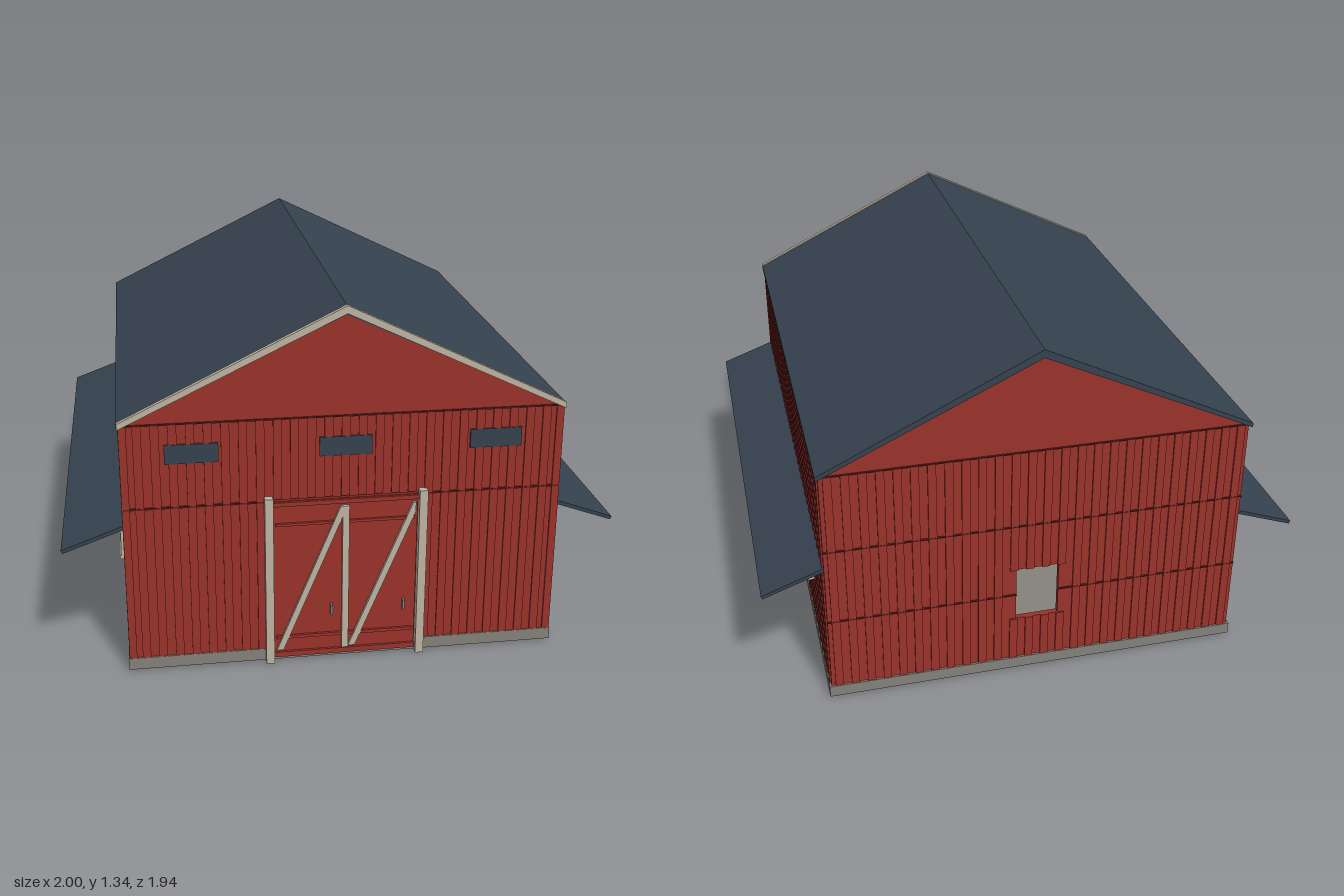
import * as THREE from 'three';
import { mergeGeometries } from 'three/addons/utils/BufferGeometryUtils.js';

const mat = (name, color) => {
  const m = new THREE.MeshStandardMaterial({ color });
  m.name = name;
  return m;
};

export function createModel() {
  const red = mat('barn red', 0x9a322b);
  const slate = mat('slate blue', 0x35424f);
  const cream = mat('cream trim', 0xbdb3a0);
  const stone = mat('foundation grey', 0x84817a);
  const seam = mat('seam red', 0x5e1d19);

  const barn = new THREE.Group();
  barn.name = 'barn';

  const add = (name, geometry, material, parent = barn) => {
    const m = new THREE.Mesh(geometry, material);
    m.name = name;
    parent.add(m);
    return m;
  };
  // box geometry from its minimum and maximum corners
  const span = (x0, x1, y0, y1, z0, z1) =>
    new THREE.BoxGeometry(x1 - x0, y1 - y0, z1 - z0)
      .translate((x0 + x1) / 2, (y0 + y1) / 2, (z0 + z1) / 2);
  const outline = pts => new THREE.Shape(pts.map(p => new THREE.Vector2(...p)));
  const extrude = (shape, z0, z1) =>
    new THREE.ExtrudeGeometry(shape, { depth: z1 - z0, bevelEnabled: false }).translate(0, 0, z0);

  const X = 0.777, EAVE = 0.945, BASE = 0.05, FRONT = 0.936, BACK = -0.962;
  const sideWindows = [0.457, -0.482];

  // foundation slab, also the floor inside
  add('foundation', span(-0.785, 0.785, 0.005, BASE, -0.97, 0.943), stone);

  // gable end walls
  const gable = () => outline([[-X, BASE], [X, BASE], [X, EAVE - 0.005], [0, 1.315], [-X, EAVE - 0.005]]);
  add('frontWall', extrude(gable(), FRONT - 0.02, FRONT), red);
  const backShape = gable();
  backShape.holes.push(new THREE.Path(
    [[-0.08, 0.23], [-0.08, 0.45], [0.08, 0.45], [0.08, 0.23]].map(p => new THREE.Vector2(...p))));
  add('backWall', extrude(backShape, BACK, BACK + 0.02), red);

  // vertical ribs of the siding; holes are [u0, u1, y0, y1]
  const ribs = (u0, u1, holes, place) => {
    const list = [];
    const n = Math.round((u1 - u0) / 0.06), pitch = (u1 - u0) / n;
    for (let i = 0; i < n; i++) {
      const a = u0 + (i + 0.25) * pitch, b = a + pitch * 0.5;
      let y = BASE;
      holes.filter(h => b > h[0] && a < h[1]).sort((p, q) => p[2] - q[2]).forEach(h => {
        if (h[2] > y) list.push(place(a, b, y, h[2]));
        y = Math.max(y, h[3]);
      });
      if (y < EAVE) list.push(place(a, b, y, EAVE));
    }
    return mergeGeometries(list);
  };

  const highWindows = [-0.537, 0, 0.537];
  const frontHoles = [[-0.28, 0.28, 0, 0.645], ...highWindows.map(x => [x - 0.093, x + 0.093, 0.8, 0.87])];
  add('frontSiding', ribs(-0.75, 0.75, frontHoles,
    (a, b, y0, y1) => span(a, b, y0, y1, FRONT - 0.002, FRONT + 0.006)), red);
  add('backSiding', ribs(-X, X, [[-0.08, 0.08, 0.23, 0.45]],
    (a, b, y0, y1) => span(a, b, y0, y1, BACK - 0.006, BACK + 0.002)), red);

  // horizontal sheet seams
  add('frontSeam', span(-X, X, 0.633, 0.639, FRONT, FRONT + 0.007), seam);
  add('frontEaveSeam', span(-X, X, EAVE - 0.003, EAVE + 0.002, FRONT, FRONT + 0.007), seam);
  for (const [x0, x1, y] of [[-X, -0.08, 0.34], [0.08, X, 0.34], [-X, X, 0.64], [-X, X, EAVE]])
    add('backSeam', span(x0, x1, y - 0.002, y + 0.002, BACK - 0.007, BACK), seam);

  // high windows on the front
  for (const x of highWindows)
    add('highWindow', span(x - 0.093, x + 0.093, 0.8, 0.87, FRONT, FRONT + 0.008), slate);

  // long sides
  for (const s of [-1, 1]) {
    const side = new THREE.Group();
    side.name = s > 0 ? 'leftSide' : 'rightSide';
    barn.add(side);
    const sx = (x0, x1, ...r) => s > 0 ? span(x0, x1, ...r) : span(-x1, -x0, ...r);

    add('sideWall', sx(X - 0.02, X, BASE, EAVE, BACK, FRONT), red, side);
    add('sideSiding', ribs(BACK, FRONT, sideWindows.map(z => [z - 0.09, z + 0.09, 0.26, 0.53]),
      (a, b, y0, y1) => sx(X - 0.002, X + 0.006, y0, y1, a, b)), red, side);
    add('cornerBoard', sx(0.755, X + 0.005, BASE, EAVE, FRONT - 0.02, FRONT + 0.006), red, side);

    // framed windows under the awning
    for (const z of sideWindows) {
      add('sideWindowPane', sx(X, X + 0.008, 0.26, 0.53, z - 0.09, z + 0.09), slate, side);
      add('sideWindowFrame', mergeGeometries([
        sx(X, 0.806, 0.255, 0.27, z - 0.098, z + 0.098),
        sx(X, 0.806, 0.525, 0.54, z - 0.098, z + 0.098),
        sx(X, 0.8, 0.27, 0.525, z - 0.098, z - 0.083),
        sx(X, 0.8, 0.27, 0.525, z + 0.083, z + 0.098)]), cream, side);
    }

    // sloping awning
    add('awning', extrude(outline([[s * 0.77, 0.557], [s * 0.995, 0.476], [s * 1, 0.488], [s * 0.77, 0.572]]),
      -0.955, 0.922), slate, side);

    // cream board along the front edge of the roof
    add('rakeBoard', extrude(outline([[0, 1.312], [s * 0.786, 0.935], [s * 0.786, 0.957], [0, 1.34]]),
      0.93, 0.95), cream, side);
  }

  // gabled roof
  add('roof', extrude(outline([[-0.788, 0.935], [-0.788, 0.952], [0, 1.336], [0.788, 0.952], [0.788, 0.935], [0, 1.305]]),
    -0.973, 0.937), slate);

  // double front door
  const door = new THREE.Group();
  door.name = 'frontDoor';
  barn.add(door);
  add('doorPanel', span(-0.26, 0.26, 0.015, 0.64, FRONT, 0.948), red, door);
  for (const [y, h, w] of [[0.629, 0.016, 0.27], [0.55, 0.01, 0.25], [0.1, 0.012, 0.25], [0.03, 0.02, 0.26]])
    add('doorRail', span(-w, w, y - h / 2, y + h / 2, 0.945, 0.957), red, door);
  for (const x of [-0.274, 0.279])
    add('doorPost', span(x - 0.015, x + 0.015, 0, 0.655, FRONT, 0.965), cream, door);
  add('doorMiddlePost', span(-0.012, 0.012, 0.045, 0.612, 0.945, 0.962), cream, door);
  for (const x of [-0.25, 0.012])
    add('doorBrace', extrude(outline([[x, 0.05], [x + 0.024, 0.05], [x + 0.24, 0.575], [x + 0.24, 0.61], [x + 0.23, 0.61]]),
      0.945, 0.96), cream, door);
  for (const x of [-0.05, 0.215])
    add('doorHandle', span(x - 0.004, x + 0.004, 0.185, 0.225, 0.947, 0.966), stone, door);

  return barn;
}
